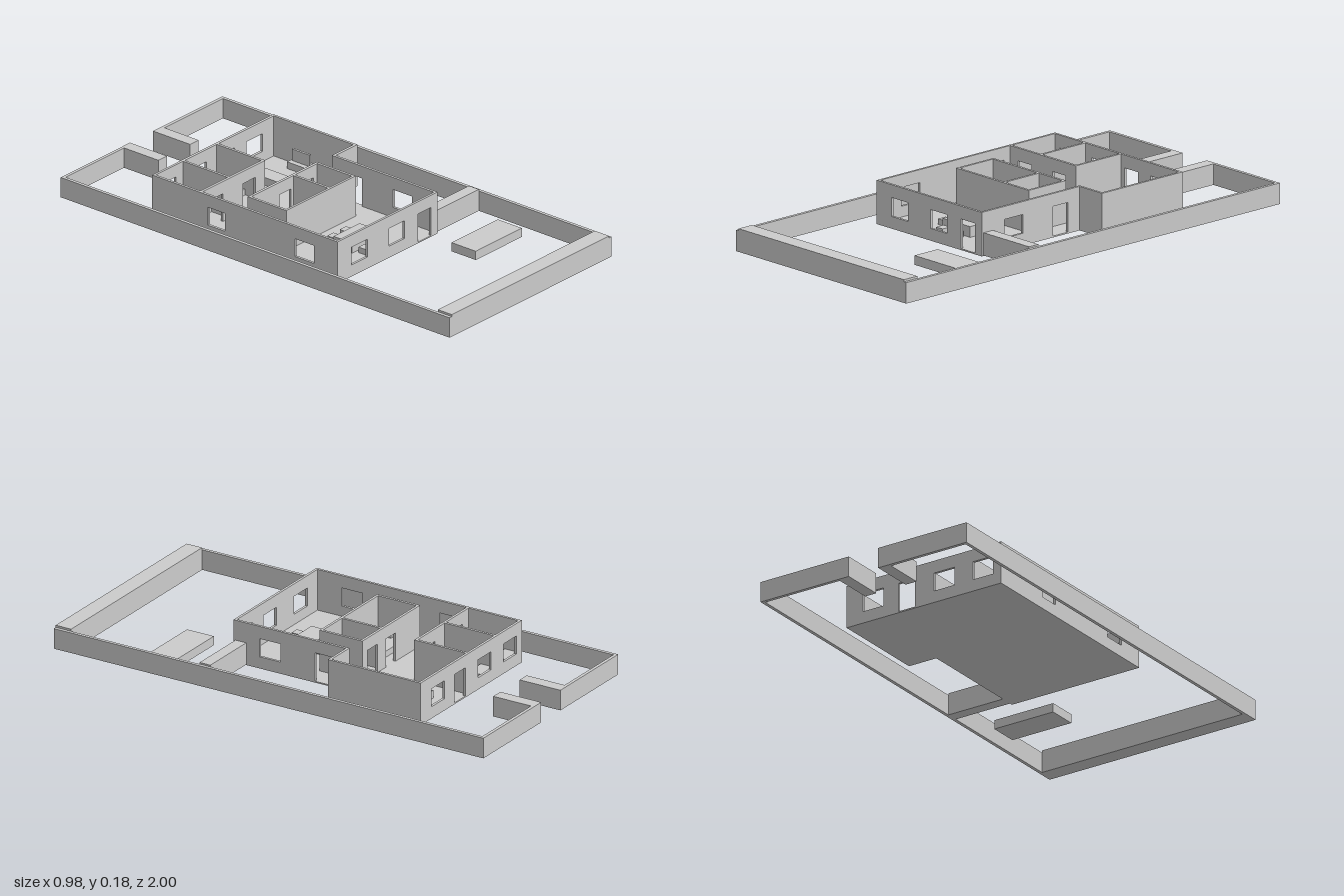
import * as THREE from 'three';

const FLOOR = 0.006, HEAD = 0.127, SILL = 0.05, WALL_H = 0.18, T = 0.011;
const YARD_H = 0.088, YARD_T = 0.014;

export function createModel() {
  const model = new THREE.Group();
  const mat = new THREE.MeshStandardMaterial({ color: 0xcccccc, flatShading: true });

  const add = (parent, name, geo) => {
    const m = new THREE.Mesh(geo, mat);
    m.name = name;
    parent.add(m);
    return m;
  };
  const group = (name) => {
    const g = new THREE.Group();
    g.name = name;
    model.add(g);
    return g;
  };
  // Box given by its extents
  const box = (parent, name, x0, x1, z0, z1, y0, y1) =>
    add(parent, name, new THREE.BoxGeometry(x1 - x0, y1 - y0, z1 - z0)
      .translate((x0 + x1) / 2, (y0 + y1) / 2, (z0 + z1) / 2));

  // Wall along x or z from a to b; 'at' is its low side; openings are [from, to, bottom]
  const wall = (parent, name, axis, at, a, b, openings = []) => {
    const rect = (p, u0, u1, v0, v1) =>
      p.moveTo(u0, v0).lineTo(u1, v0).lineTo(u1, v1).lineTo(u0, v1).closePath();
    const shape = new THREE.Shape();
    rect(shape, a, b, 0, WALL_H);
    for (const [u0, u1, bottom] of openings) {
      const hole = new THREE.Path();
      rect(hole, u0, u1, bottom, HEAD);
      shape.holes.push(hole);
    }
    const geo = new THREE.ExtrudeGeometry(shape, { depth: T, bevelEnabled: false });
    if (axis === 'z') geo.rotateY(-Math.PI / 2).translate(at + T, 0, 0);
    else geo.translate(0, 0, at);
    add(parent, name, geo);
  };

  // Yard enclosure
  const yard = group('yard');
  for (const s of [-1, 1]) {
    const span = (a, b) => (s > 0 ? [a, b] : [-b, -a]);
    box(yard, 'sideYardWall', ...span(0.49 - YARD_T, 0.49), -1, 1, 0.002, YARD_H);
    box(yard, 'backYardWall', ...span(0.07, 0.49 - YARD_T), -1, -1 + YARD_T, 0.002, YARD_H);
    box(yard, 'gatePier', ...span(0.07, 0.122), -1 + YARD_T, -0.81, 0.002, YARD_H);
  }
  box(yard, 'frontYardWall', -0.476, 0.476, 0.928, 1, 0.002, 0.097);
  box(yard, 'sideGateWall', 0.215, 0.476, 0.28, 0.33, 0.002, 0.095);
  box(yard, 'yardPlatform', 0.122, 0.402, 0.49, 0.615, 0.002, 0.04);

  // L-shaped floor
  const house = group('house');
  const X0 = -0.39, X1 = 0.215, X2 = 0.345, Z0 = -0.615, Z1 = -0.183, Z2 = 0.34;
  const plan = new THREE.Shape([[X0, Z0], [X2, Z0], [X2, Z1], [X1, Z1], [X1, Z2], [X0, Z2]]
    .map(([x, z]) => new THREE.Vector2(x, -z)));
  add(house, 'floor', new THREE.ExtrudeGeometry(plan, { depth: FLOOR, bevelEnabled: false })
    .rotateX(-Math.PI / 2));

  // Outer walls
  wall(house, 'frontWall', 'x', Z2 - T, X0, X1,
    [[-0.305, -0.21, SILL], [-0.08, 0.015, SILL], [0.095, 0.175, FLOOR]]);
  wall(house, 'backWall', 'x', Z0, X0, X2,
    [[-0.352, -0.257, SILL], [-0.168, -0.072, SILL], [0.02, 0.098, FLOOR], [0.17, 0.267, SILL]]);
  wall(house, 'rightWall', 'z', X0, Z0, Z2, [[-0.33, -0.24, SILL], [0.12, 0.218, SILL]]);
  wall(house, 'leftWall', 'z', X1 - T, Z1 - T, Z2, [[-0.12, -0.04, FLOOR], [0.12, 0.218, SILL]]);
  wall(house, 'wingSideWall', 'z', X2 - T, Z0, Z1);
  wall(house, 'wingFrontWall', 'x', Z1 - T, X1 - T, X2);

  // Inner walls
  wall(house, 'smallRoomsWall', 'x', -0.375, X0, 0,
    [[-0.335, -0.255, FLOOR], [-0.135, -0.06, FLOOR]]);
  wall(house, 'smallRoomsDivider', 'z', -0.215, Z0, -0.37);
  wall(house, 'smallRoomsEndWall', 'z', -0.011, Z0, -0.364);
  wall(house, 'middleRoomFrontWall', 'x', -0.011, -0.3, 0.12);
  wall(house, 'middleRoomBackWall', 'x', -0.2, -0.3, 0.12,
    [[-0.12, -0.05, FLOOR], [0.01, 0.085, FLOOR]]);
  for (const x of [-0.3, -0.036, 0.109]) wall(house, 'middleRoomCrossWall', 'z', x, -0.2, 0);

  // Furniture
  const furniture = group('furniture');
  const item = (name, x0, x1, z0, z1, h, y = FLOOR) =>
    box(furniture, name, x0, x1, z0, z1, y, h);
  for (const x of [-0.379, -0.204]) {
    item('desk', x, x + 0.088, -0.604, -0.543, 0.045);
    item('stool', x + 0.022, x + 0.062, -0.53, -0.488, 0.028);
  }
  for (const x of [-0.282, -0.079]) item('singleBed', x, x + 0.066, -0.604, -0.457, 0.032);
  item('doubleBed', -0.285, -0.122, -0.147, -0.055, 0.032);
  for (const z of [-0.143, -0.096]) item('pillow', -0.282, -0.25, z, z + 0.038, 0.038, 0.032);
  item('bathtub', -0.025, 0.109, -0.063, -0.011, 0.035);

  // Tapered basin against the bathroom wall
  const basin = new THREE.Shape([[0.062, 0.112], [0.109, 0.102], [0.109, 0.15], [0.062, 0.135]]
    .map(([x, y]) => new THREE.Vector2(x, y)));
  add(furniture, 'toilet', new THREE.ExtrudeGeometry(basin, { depth: 0.03, bevelEnabled: false })
    .rotateX(-Math.PI / 2).translate(0, FLOOR, 0));

  item('lowTable', 0.105, 0.174, -0.52, -0.355, 0.04);
  item('screenStand', 0.28, 0.333, -0.49, -0.387, 0.035);
  item('screen', 0.302, 0.312, -0.484, -0.393, 0.085, 0.035);
  item('diningTable', -0.15, 0.008, 0.115, 0.21, 0.05);
  const seats = [[-0.11, 0.085], [-0.034, 0.085], [-0.11, 0.245], [-0.034, 0.245], [-0.188, 0.162], [0.04, 0.162]];
  for (const [x, z] of seats) item('diningStool', x - 0.019, x + 0.019, z - 0.02, z + 0.02, 0.03);

  return model;
}
